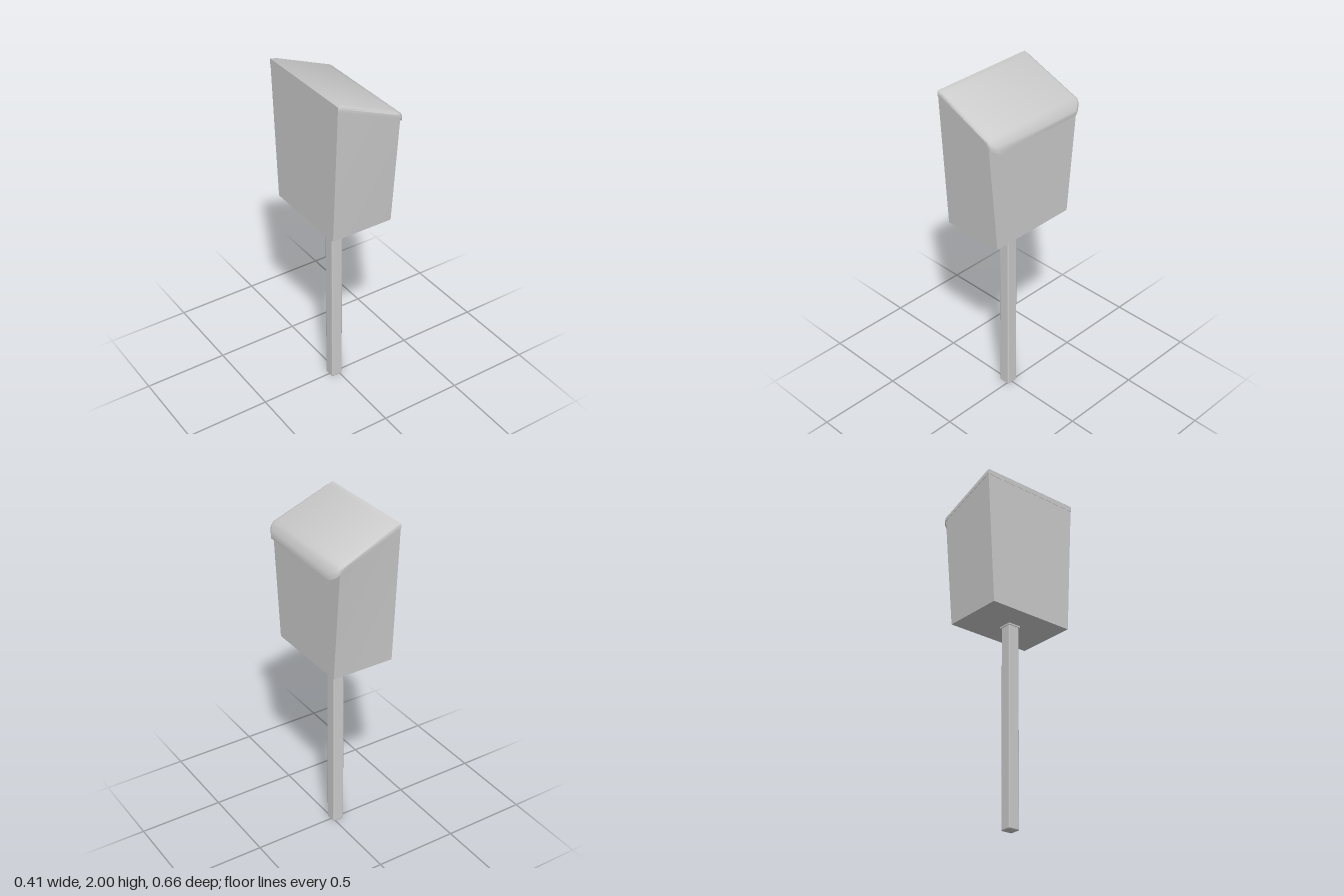
import * as THREE from 'three';
import { toCreasedNormals } from 'three/addons/utils/BufferGeometryUtils.js';
import { RoundedBoxGeometry } from 'three/addons/geometries/RoundedBoxGeometry.js';

// Skins closed cross-sections (arrays of [x, y, z]) running along +x, with end caps.
function loft(rings, crease) {
  const out = [];
  const tri = (a, b, c) => out.push(...a, ...b, ...c);
  const n = rings[0].length;
  for (let i = 0; i < rings.length - 1; i++) {
    for (let j = 0; j < n; j++) {
      const k = (j + 1) % n;
      const a = rings[i][j], b = rings[i][k], c = rings[i + 1][k], d = rings[i + 1][j];
      tri(a, b, d);
      tri(b, c, d);
    }
  }
  const first = rings[0], last = rings[rings.length - 1];
  for (let j = 1; j < n - 1; j++) {
    tri(first[0], first[j + 1], first[j]);
    tri(last[0], last[j], last[j + 1]);
  }
  const geometry = new THREE.BufferGeometry();
  geometry.setAttribute('position', new THREE.Float32BufferAttribute(out, 3));
  return toCreasedNormals(geometry, crease);
}

// Mirrors a half outline of [y, z], listed from top to bottom, into a full ring.
function ring(x, half) {
  const right = half.map(([y, z]) => [x, y, z]);
  const left = half.map(([y, z]) => [x, y, -z]).reverse();
  return [...right, ...left];
}

export function createModel() {
  const group = new THREE.Group();
  const material = new THREE.MeshStandardMaterial({ color: 0xcccccc });
  const add = (name, geometry) => {
    const mesh = new THREE.Mesh(geometry, material);
    mesh.name = name;
    group.add(mesh);
    return mesh;
  };

  // Square post with softened edges, and a thin collar under the box
  add('post', new RoundedBoxGeometry(0.07, 1.19, 0.07, 2, 0.008)).position.set(-0.02, 0.595, 0);
  add('postCollar', new THREE.BoxGeometry(0.08, 0.014, 0.08)).position.set(-0.02, 1.178, 0);

  // Box that widens upward, with a sloping top hidden inside the lid
  add('box', loft([
    ring(-0.204, [[1.98, 0.313], [1.18, 0.268]]),
    ring(0.167, [[1.84, 0.325], [1.18, 0.268]]),
  ], 0.5));

  // Sloping lid: x, top y, top half-width, edge y, edge half-width, underside y
  const lidSections = [
    [-0.205, 2.0, 0.312, 1.99, 0.316, 1.968],
    [-0.17, 1.997, 0.3, 1.98, 0.317, 1.956],
    [0.135, 1.875, 0.304, 1.858, 0.326, 1.838],
    [0.165, 1.861, 0.31, 1.845, 0.328, 1.822],
    [0.18, 1.848, 0.306, 1.83, 0.322, 1.808],
    [0.195, 1.826, 0.288, 1.816, 0.3, 1.793],
    [0.204, 1.806, 0.278, 1.803, 0.282, 1.783],
  ];
  add('lid', loft(lidSections.map(([x, topY, topZ, edgeY, edgeZ, lowY]) =>
    ring(x, [
      [topY, topZ],
      [topY * 0.65 + edgeY * 0.35, topZ * 0.35 + edgeZ * 0.65],
      [edgeY, edgeZ],
      [lowY, edgeZ - 0.002],
    ])), 0.7));

  return group;
}
